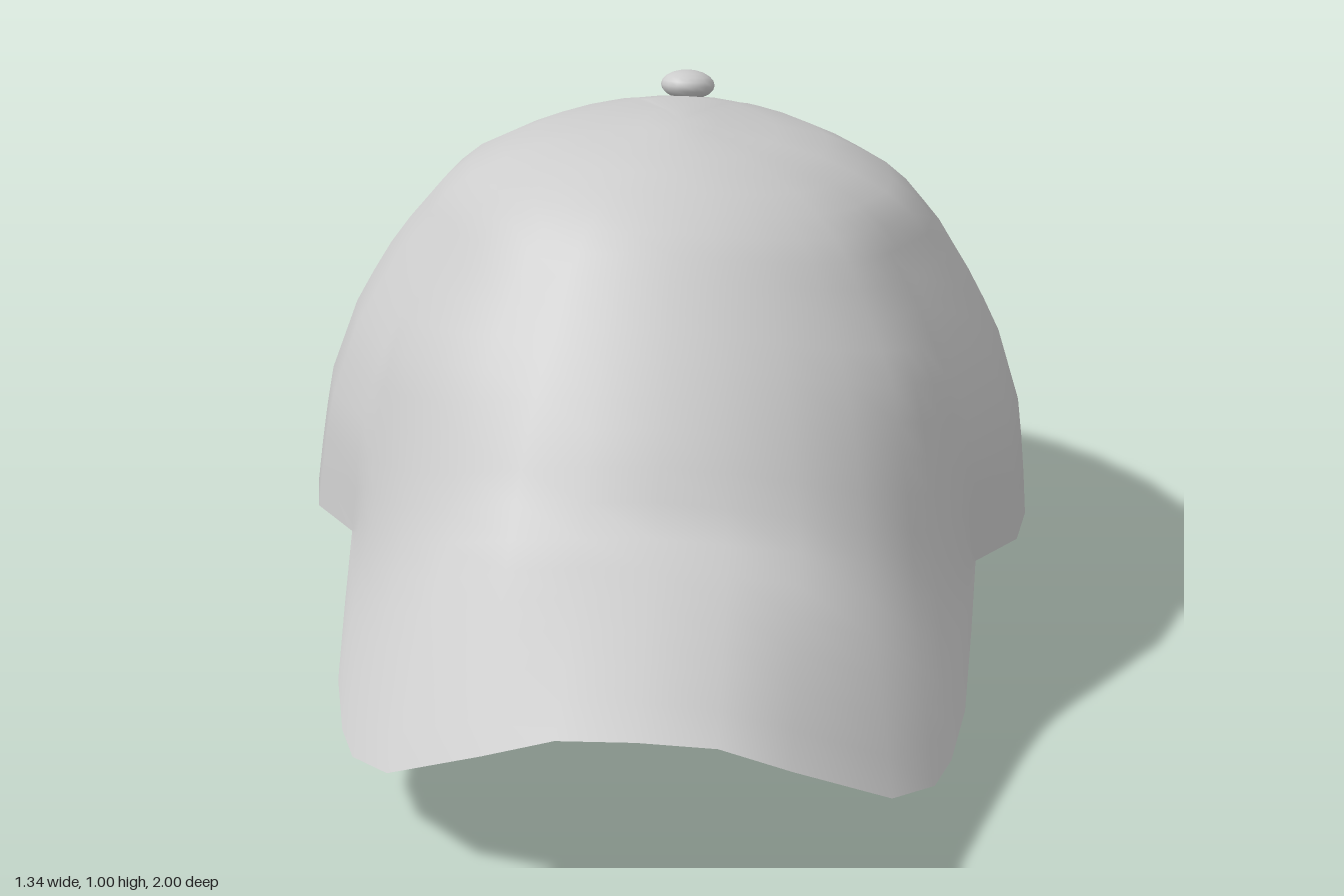
import * as THREE from 'three';
import { RoundedBoxGeometry } from 'three/addons/geometries/RoundedBoxGeometry.js';

// Crown sections: height, half width, front z, back z
const SECTIONS = [
  [1.0, 0, -0.15, -0.15], [0.985, 0.14, 0.02, -0.33], [0.95, 0.28, 0.1, -0.45],
  [0.9, 0.375, 0.18, -0.55], [0.86, 0.425, 0.22, -0.62], [0.72, 0.525, 0.35, -0.83],
  [0.6, 0.592, 0.45, -0.93], [0.44, 0.645, 0.555, -1.0], [0.3, 0.662, 0.57, -0.985],
  [0.2, 0.672, 0.56, -0.96], [0.0, 0.62, 0.55, -0.92],
];
// Lower rim of the crown: angle from the front in degrees, height.
// The steep climb after 152 is the opening at the back.
const RIM = [
  [0, 0.485], [12, 0.475], [24, 0.45], [36, 0.4], [46, 0.355], [52, 0.328], [57, 0.305],
  [62, 0.284], [66, 0.267], [78, 0.24], [90, 0.217], [108, 0.147], [124, 0.105],
  [140, 0.075], [152, 0.05], [154, 0.2], [156, 0.3], [162, 0.38], [170, 0.425], [180, 0.44],
];
// Outer edge of the brim, one point for each of the first rim angles
const BRIM_EDGE = [
  [0, 0.35, 1], [0.13, 0.338, 0.985], [0.25, 0.285, 0.95], [0.415, 0.178, 0.825],
  [0.49, 0.127, 0.68], [0.52, 0.124, 0.58], [0.545, 0.147, 0.44], [0.557, 0.205, 0.25],
];
const BRIM_END = 66, CROWN_ROWS = 16, BRIM_ROWS = 6;
const { lerp, smoothstep, degToRad } = THREE.MathUtils;

// Point on the crown surface at a height and an angle
function crownPoint(y, degrees) {
  let k = 0;
  while (k < SECTIONS.length - 2 && y < SECTIONS[k + 1][0]) k++;
  const [p, q] = [SECTIONS[k], SECTIONS[k + 1]];
  const f = (p[0] - y) / (p[0] - q[0]);
  const [w, zf, zb] = [1, 2, 3].map((c) => lerp(p[c], q[c], f));
  const a = degToRad(degrees), c = Math.cos(a);
  const mid = lerp(-0.15, -0.25, Math.min(1, (1 - y) / 0.25));
  // narrower where the brim starts, fuller on the front diagonals, flatter on the back ones
  const pinch = 1 - 0.07 * smoothstep(c, 0.15, 0.4);
  const diagonal = c > 0 ? 0.05 * smoothstep(y, 0.3, 0.6) : 0.025 * smoothstep(y, 0.2, 0.45) - 0.065;
  const full = 1 + diagonal * Math.sin(2 * a) ** 2;
  const depth = c > 0 ? zf - mid : mid - zb;
  return new THREE.Vector3(w * Math.sin(a) * pinch * full, y, mid + c * depth * full);
}

// One line of points from the top of the crown to the brim edge
function columnPoints(a, y, edge) {
  const points = [];
  for (let r = 0; r <= CROWN_ROWS; r++) {
    points.push(crownPoint(1 - (1 - y) * (r / CROWN_ROWS) ** 1.7, a));
  }
  const seam = points[CROWN_ROWS];
  for (let r = 1; r <= BRIM_ROWS; r++) {
    const t = r / BRIM_ROWS;
    const p = seam.clone();
    if (edge) p.lerp(new THREE.Vector3(...edge), t).y += 0.015 * Math.sin(Math.PI * t);
    points.push(p);
  }
  if (!edge) return points;
  // soften the fold between crown and brim, most of all on the diagonals
  const weight = 0.03 + 0.67 * smoothstep(a, 12, 48);
  for (let pass = 0; pass < 6; pass++) {
    const old = points.map((p) => p.clone());
    for (let r = CROWN_ROWS - 4; r < CROWN_ROWS + BRIM_ROWS; r++) {
      points[r].lerp(old[r - 1].clone().lerp(old[r + 1], 0.5), weight);
    }
  }
  return points;
}

// Crown and brim share one smooth surface, split into two meshes
function shellGeometries() {
  const half = RIM.map(([a, y], i) => ({ a, side: 1, points: columnPoints(a, y, BRIM_EDGE[i]) }));
  const columns = [...half, ...half.slice(1, -1).reverse().map((c) => ({ ...c, side: -1 }))];
  const rows = CROWN_ROWS + BRIM_ROWS + 1;
  const positions = [], crown = [], brim = [];

  columns.forEach((col, i) => {
    col.points.forEach((p) => positions.push(col.side * p.x, p.y, p.z));
    const next = (i + 1) % columns.length;
    const onBrim = col.a <= BRIM_END && columns[next].a <= BRIM_END;
    for (let r = 0; r < rows - 1; r++) {
      if (r >= CROWN_ROWS && !onBrim) continue;
      const a = i * rows + r, d = next * rows + r;
      (r < CROWN_ROWS ? crown : brim).push(a, a + 1, d + 1, a, d + 1, d);
    }
  });

  const whole = new THREE.BufferGeometry();
  whole.setAttribute('position', new THREE.Float32BufferAttribute(positions, 3));
  whole.setIndex([...crown, ...brim]);
  whole.computeVertexNormals();
  columns.forEach((_, i) => whole.attributes.normal.setXYZ(i * rows, 0, 1, 0));
  return [crown, brim].map((index) => {
    const g = whole.clone();
    g.setIndex(index);
    return g;
  });
}

// Curved band closing the back opening
function strapGeometry() {
  const g = new THREE.PlaneGeometry(1, 1, 14, 2);
  const pos = g.attributes.position;
  for (let i = 0; i < pos.count; i++) {
    const u = pos.getX(i) * 2, v = pos.getY(i) + 0.5;
    const y = lerp(0.02 + 0.03 * u * u, 0.145 + 0.05 * u * u, v);
    const p = crownPoint(y, 180 - 29 * u);
    pos.setXYZ(i, -p.x * 0.985, y, p.z * 0.985);
  }
  g.computeVertexNormals();
  return g;
}

export function createModel() {
  const cloth = new THREE.MeshStandardMaterial({ color: 0xcccccc, side: THREE.DoubleSide });
  cloth.name = 'light grey cloth';
  const cap = new THREE.Group();
  cap.name = 'cap';
  const add = (name, geometry, parent = cap) => {
    const mesh = new THREE.Mesh(geometry, cloth);
    mesh.name = name;
    parent.add(mesh);
    return mesh;
  };

  const [crown, brim] = shellGeometries();
  add('crown', crown);
  add('brim', brim);
  add('backStrap', strapGeometry());

  // Button on the crown
  const button = add('topButton', new THREE.SphereGeometry(0.05, 16, 10));
  button.scale.y = 0.55;
  button.position.set(0, 0.98, -0.42);
  button.rotation.x = -0.2;

  // Buckle on the outside of the strap, with a raised bar at top and bottom
  const buckle = new THREE.Group();
  buckle.name = 'buckle';
  add('buckleCore', new RoundedBoxGeometry(0.09, 0.14, 0.036, 2, 0.012), buckle);
  for (const s of [-1, 1]) {
    const bar = add('buckleBar', new RoundedBoxGeometry(0.1, 0.035, 0.05, 2, 0.014), buckle);
    bar.position.y = s * 0.06;
  }
  buckle.position.set(-0.17, 0.08, -0.908);
  buckle.rotation.set(-0.3, 0.2, 0);
  cap.add(buckle);

  // The cap sits with a slight lean to its left
  cap.rotation.z = -0.03;
  const model = new THREE.Group();
  model.name = 'baseballCap';
  model.add(cap);
  return model;
}
